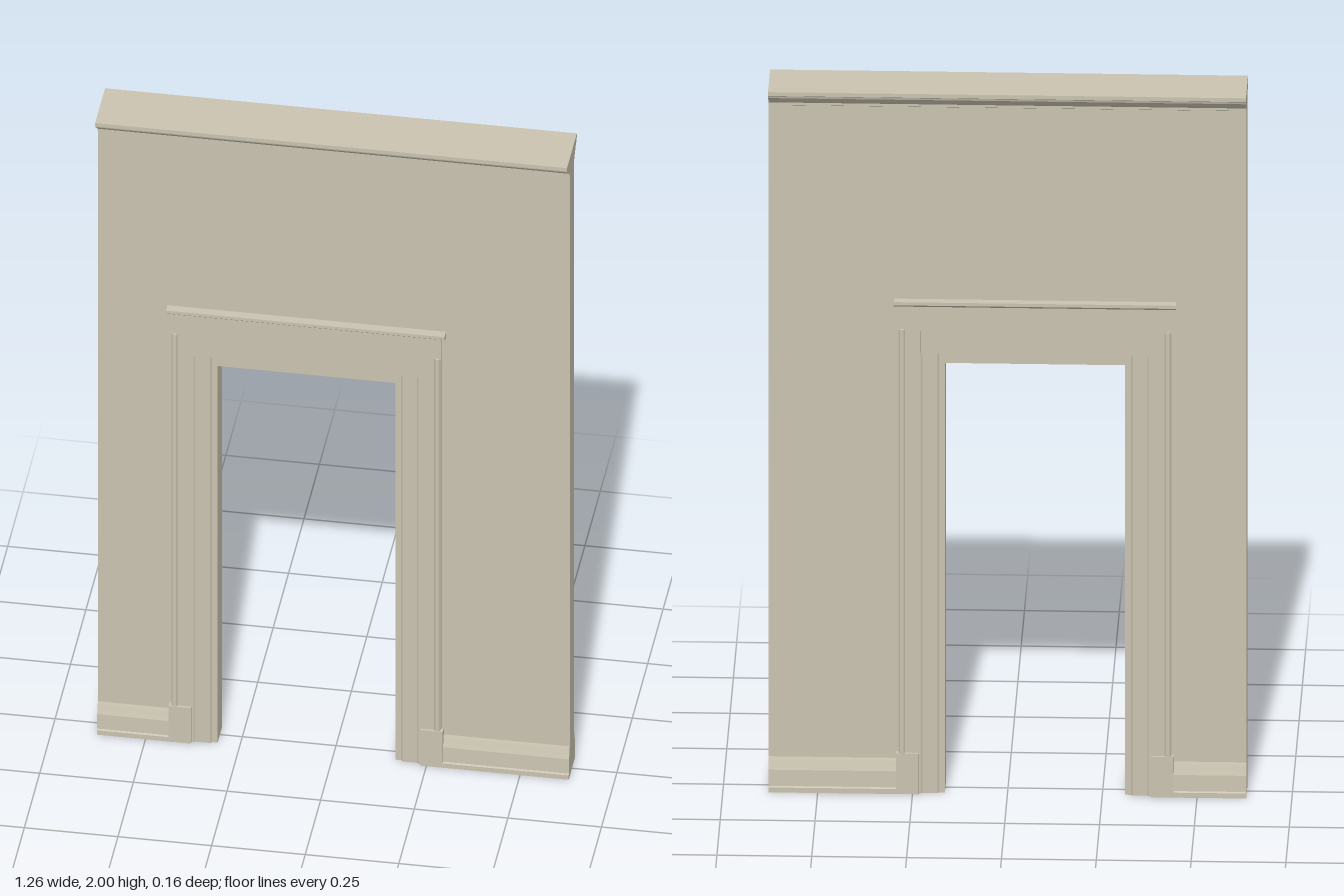
import * as THREE from 'three';

const HALF = 0.63;          // half wall width
const WALL_Z = 0.035;       // half wall thickness
const DOOR_X = -0.0725;     // doorway centre
const OPEN = 0.2375;        // half opening width
const OPEN_TOP = 1.22;

export function createModel() {
  const group = new THREE.Group();
  const plaster = new THREE.MeshStandardMaterial({ color: 0xcac3b1 });
  plaster.name = 'warm plaster';

  const add = (name, geometry) => {
    const mesh = new THREE.Mesh(geometry, plaster);
    mesh.name = name;
    group.add(mesh);
  };
  const shapeOf = (pts) => new THREE.Shape(pts.map(([a, b]) => new THREE.Vector2(a, b)));
  const extrude = (shape, depth) =>
    new THREE.ExtrudeGeometry(shape, { depth, bevelEnabled: false });
  // Mirror a half profile of [offset, z] or [z, y] points into a closed two-sided section
  const bothSides = (pts, axis) =>
    [...pts, ...pts.map((p) => p.map((v, i) => (i === axis ? -v : v))).reverse()];

  // Moulding running along x; profile is [z, y] for the front half
  const alongX = (name, profile, x0, x1) => {
    const g = extrude(shapeOf(bothSides(profile, 0)), x1 - x0);
    g.rotateY(-Math.PI / 2).translate(x1, 0, 0);
    add(name, g);
  };
  // Moulding running up y; profile is [distance from door centre, z], placed by side
  const alongY = (name, profile, side, y0, y1) => {
    const pts = bothSides(profile, 1).map(([u, z]) => [DOOR_X + side * u, z]);
    const g = extrude(shapeOf(pts), y1 - y0);
    g.rotateX(-Math.PI / 2).translate(0, y0, 0);
    add(name, g);
  };

  // Wall with the doorway cut through it
  const l = DOOR_X - OPEN, r = DOOR_X + OPEN;
  const wall = extrude(shapeOf([
    [-HALF, 0], [l, 0], [l, OPEN_TOP], [r, OPEN_TOP], [r, 0],
    [HALF, 0], [HALF, 2], [-HALF, 2],
  ]), WALL_Z * 2);
  add('wall', wall.translate(0, 0, -WALL_Z));

  // Crown moulding on both faces
  alongX('crownMoulding', [
    [0.034, 1.945], [0.04, 1.948], [0.04, 1.955], [0.046, 1.958], [0.053, 1.964],
    [0.062, 1.974], [0.07, 1.979], [0.072, 1.985], [0.08, 1.989], [0.08, 2.0],
  ], -HALF, HALF);

  // Baseboards either side of the door
  const base = [
    [0.053, 0], [0.053, 0.014], [0.049, 0.017], [0.047, 0.062],
    [0.043, 0.073], [0.038, 0.088], [0.034, 0.098],
  ];
  alongX('rightBaseboard', base, -HALF, DOOR_X - 0.36);
  alongX('leftBaseboard', base, DOOR_X + 0.36, HALF);

  // Door casings: stepped inner jamb, flat board, raised outer bead, plinth block
  for (const [side, word] of [[-1, 'right'], [1, 'left']]) {
    alongY(word + 'Jamb', [
      [OPEN, 0.037], [0.253, 0.037], [0.257, 0.042], [0.296, 0.042], [0.301, 0.046], [0.306, 0.046],
    ], side, 0, 1.25);
    alongY(word + 'Casing', [
      [0.301, 0.046], [0.342, 0.046], [0.346, 0.051], [0.355, 0.051], [0.36, 0.044],
    ], side, 0, 1.318);
    alongY(word + 'Plinth', [[0.306, 0.053], [0.366, 0.053]], side, 0, 0.115);
  }

  // Head: soffit strip, lower frieze, upper frieze and projecting cap
  alongX('headSoffit', [[0.037, OPEN_TOP], [0.037, 1.252]], l, r);
  alongX('lowerFrieze', [[0.042, 1.25], [0.042, 1.316]], DOOR_X - 0.305, DOOR_X + 0.305);
  alongX('upperFrieze', [[0.046, 1.314], [0.046, 1.386]], DOOR_X - 0.36, DOOR_X + 0.36);
  alongX('headCap', [
    [0.046, 1.382], [0.054, 1.386], [0.06, 1.391], [0.06, 1.4],
  ], DOOR_X - 0.372, DOOR_X + 0.372);

  return group;
}
